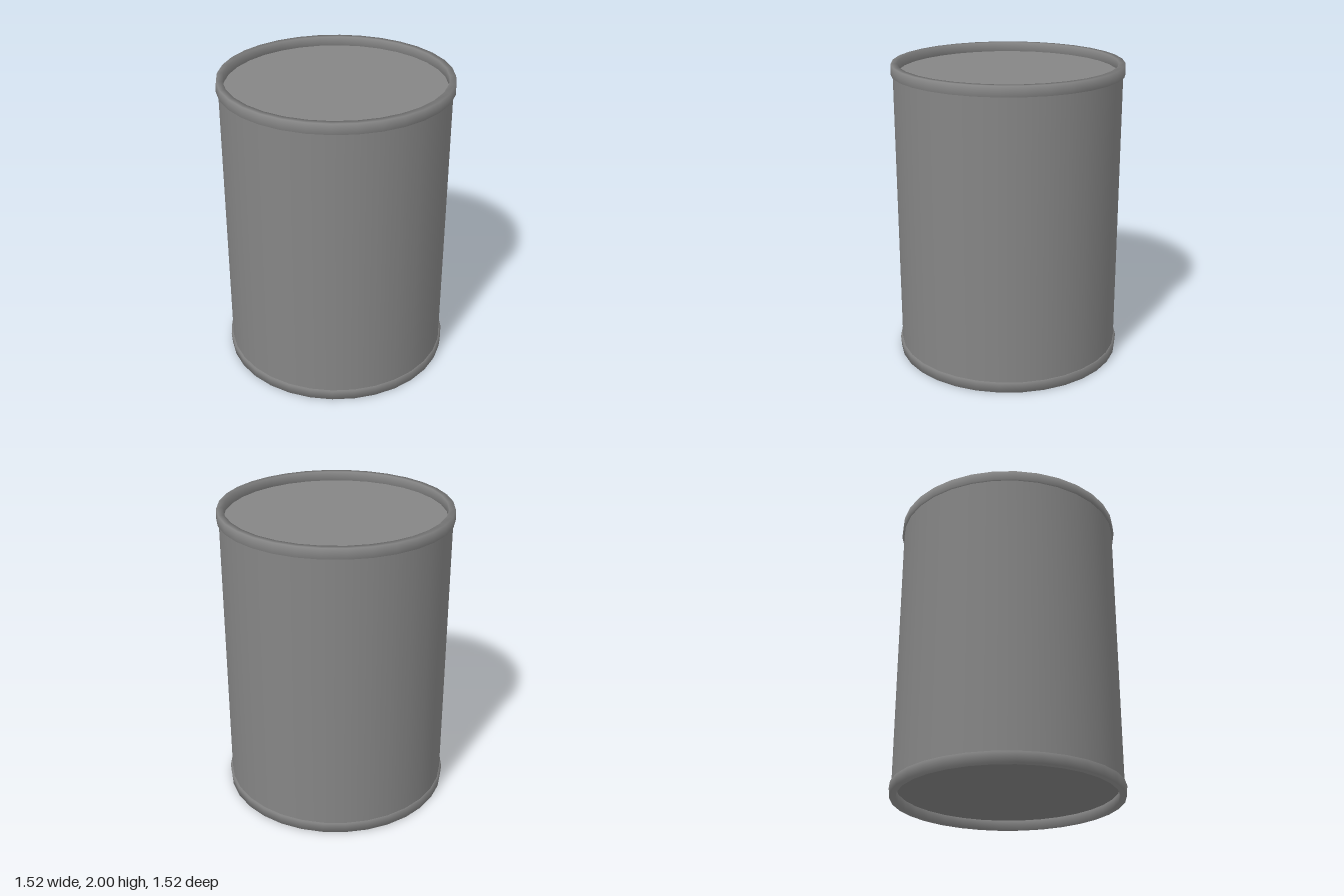
import * as THREE from 'three';

const SIDES = 32;
const material = new THREE.MeshStandardMaterial({ color: 0x858585 });

function lathe(name, profile) {
  const points = profile.map(([r, y]) => new THREE.Vector2(r, y));
  const mesh = new THREE.Mesh(new THREE.LatheGeometry(points, SIDES), material);
  mesh.name = name;
  return mesh;
}

// One end of the can, heights measured from the middle of the body
function createEnd(name) {
  const end = new THREE.Group();
  end.name = name;

  // Closed rim, smooth around its slightly tapered section
  end.add(lathe('rim', [
    [0.737, 0.933], [0.76, 0.933], [0.755, 1], [0.715, 1], [0.715, 0.933], [0.737, 0.933],
  ]));

  // Flat recessed panel
  const panel = new THREE.Mesh(new THREE.CircleGeometry(0.717, SIDES), material);
  panel.name = 'endPanel';
  panel.rotation.x = -Math.PI / 2;
  panel.position.y = 0.937;
  end.add(panel);
  return end;
}

export function createModel() {
  const can = new THREE.Group();
  can.name = 'can';

  // Cylindrical wall
  can.add(lathe('wall', [[0.745, 0.065], [0.745, 1.935]]));

  // Matching top and bottom ends
  const top = createEnd('topEnd');
  const bottom = createEnd('bottomEnd');
  bottom.rotation.x = Math.PI;
  for (const end of [top, bottom]) {
    end.position.y = 1;
    can.add(end);
  }
  return can;
}
